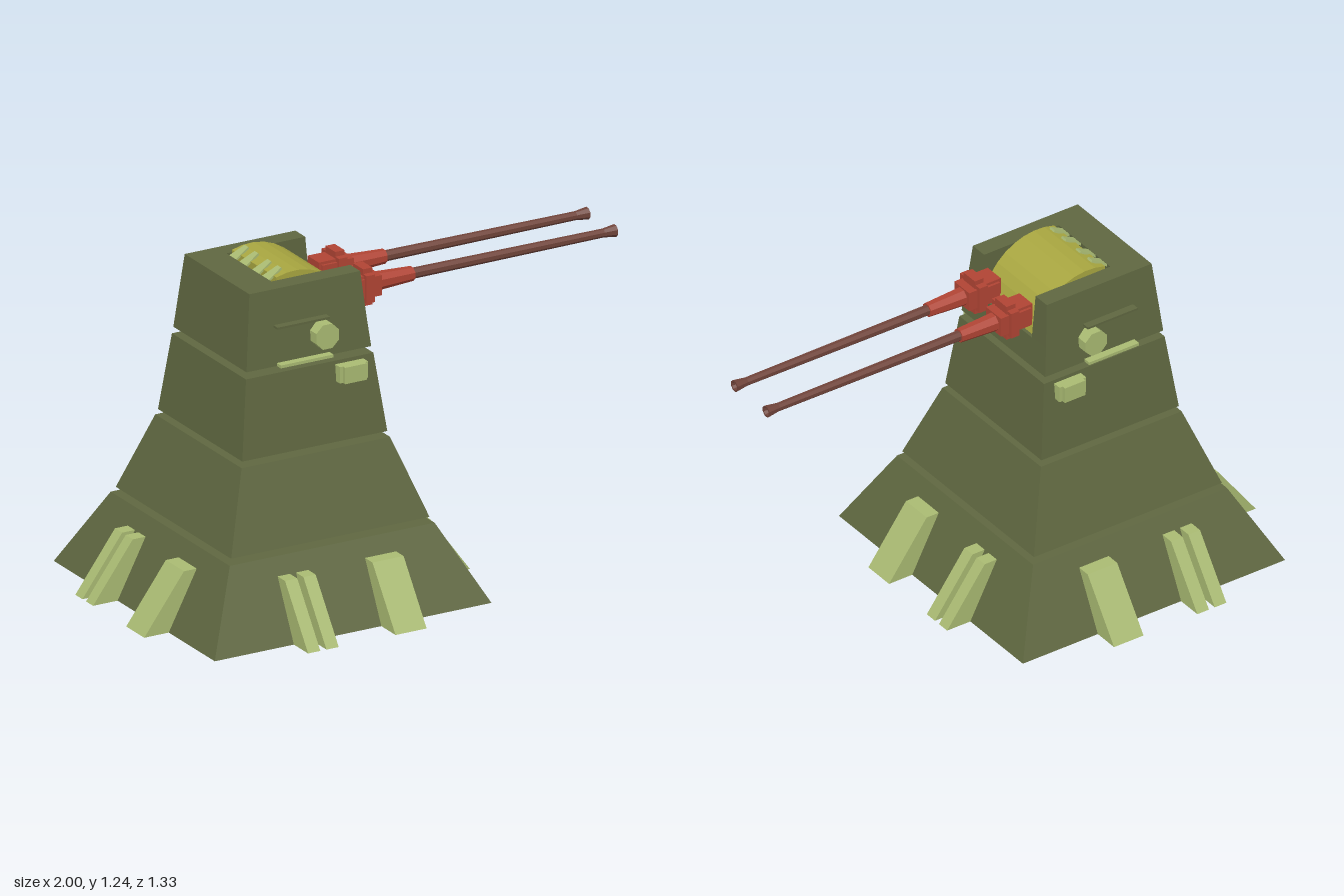
import * as THREE from 'three';

const mat = (name, color) => {
  const m = new THREE.MeshStandardMaterial({ color });
  m.name = name;
  return m;
};

export function createModel() {
  const hull = mat('olive armour', 0x5f6740);
  const trim = mat('pale green fittings', 0xa9ba72);
  const yellow = mat('yellow mantlet', 0xa8a640);
  const red = mat('red gun mount', 0xb04434);
  const brown = mat('brown barrel', 0x70443a);
  const root = new THREE.Group();
  root.name = 'gunTower';
  const CX = -0.333;

  const add = (name, geo, material, parent = root) => {
    const m = new THREE.Mesh(geo, material);
    m.name = name;
    parent.add(m);
    return m;
  };

  // Six-sided block between a bottom and a top rectangle, each [x0, x1, z0, z1]
  const block = (name, material, y0, y1, bottom, top = bottom, parent = root) => {
    const g = new THREE.BoxGeometry(1, 1, 1);
    const p = g.attributes.position;
    for (let i = 0; i < p.count; i++) {
      const up = p.getY(i) > 0, r = up ? top : bottom;
      p.setXYZ(i, r[p.getX(i) > 0 ? 1 : 0], up ? y1 : y0, r[p.getZ(i) > 0 ? 3 : 2]);
    }
    g.computeVertexNormals();
    return add(name, g, material, parent);
  };
  const square = (h) => [CX - h, CX + h, -h, h];

  // Three separate tapering tiers
  [[0, 0.283, 0.565, 0.418], [0.303, 0.592, 0.405, 0.303], [0.613, 0.905, 0.296, 0.26]]
    .forEach(([y0, y1, a, b], i) => block('tier' + (i + 1), hull, y0, y1, square(a), square(b)));

  // Top tier, notched for the gun mantlet
  const mid = [-0.578, -0.092, -0.245, 0.245], roof = [-0.56, -0.108, -0.227, 0.227];
  const NX = -0.43, NZ = 0.158;
  block('turretBase', hull, 0.93, 1.04, [-0.589, -0.08, -0.257, 0.257], mid);
  block('turretBack', hull, 1.04, 1.21, [mid[0], NX, mid[2], mid[3]], [roof[0], NX, roof[2], roof[3]]);
  block('turretWallLeft', hull, 1.04, 1.21, [NX, mid[1], NZ, mid[3]], [NX, roof[1], NZ, roof[3]]);
  block('turretWallRight', hull, 1.04, 1.21, [NX, mid[1], mid[2], -NZ], [NX, roof[1], roof[2], -NZ]);

  // Curved mantlet: a drum segment in the notch
  const drum = new THREE.Shape();
  const R = 0.232, a0 = Math.asin(0.04 / R), a1 = Math.acos(-0.075 / R), N = 9;
  drum.moveTo(CX - 0.075, 1.04);
  for (let i = 0; i <= N; i++) {
    const a = a0 + (a1 - a0) * i / N;
    drum.lineTo(CX + R * Math.cos(a), 1 + R * Math.sin(a));
  }
  const drumGeo = new THREE.ExtrudeGeometry(drum, { depth: 0.312, bevelEnabled: false });
  add('mantlet', drumGeo, yellow).position.z = -0.157;

  // Slanted teeth over the back edge of the mantlet
  for (const z of [-0.115, -0.045, 0.045, 0.115]) {
    const s = new THREE.Shape();
    s.moveTo(-0.024, 0).lineTo(0.024, 0).lineTo(0.013, 0.068).lineTo(-0.013, 0.068);
    const tooth = add('mantletTooth',
      new THREE.ExtrudeGeometry(s, { depth: 0.008, bevelEnabled: false }), trim);
    tooth.rotation.set(0, Math.PI / 2, 0);
    tooth.rotateX(Math.PI / 3);
    tooth.position.set(-0.432, 1.208, z);
  }

  // Buttresses around the base: one wide and two narrow on every side
  for (const s of [-1, 1]) {
    const span = (c, d) => s > 0 ? [c, d] : [-d, -c];
    for (const [w0, w1] of [[0.115, 0.242], [-0.167, -0.117], [-0.242, -0.192]]) {
      const lo = span(0.45, 0.665), hi = span(0.45, 0.503);
      block('buttress', trim, 0, 0.22, [CX + w0, CX + w1, ...lo], [CX + w0, CX + w1, ...hi]);
      block('buttress', trim, 0, 0.22,
        [CX + lo[0], CX + lo[1], w0, w1], [CX + hi[0], CX + hi[1], w0, w1]);
    }

    // Side fittings: hatch, slit hood, ledge and box
    const hatch = add('sideHatch', new THREE.CylinderGeometry(0.05, 0.05, 0.06, 8).toNonIndexed(), trim);
    hatch.geometry.rotateY(Math.PI / 8).rotateX(Math.PI / 2).computeVertexNormals();
    hatch.position.set(-0.277, 1.015, s * 0.26);
    block('slitHood', hull, 1.072, 1.08, [-0.47, -0.255, ...span(0.23, 0.27)]);
    block('sideLedge', trim, 0.93, 0.941, [-0.465, -0.25, ...span(0.25, 0.285)]);
    block('sideBox', trim, 0.83, 0.892, [-0.23, -0.115, ...span(0.255, 0.295)]);
    const out = span(0.295, 0.31);
    block('sideBoxFace', trim, 0.83, 0.892, [-0.217, -0.128, ...out]);
  }

  // Twin guns pointing along +x
  const tube = (name, material, x0, x1, r0, r1, parent, open = false) => {
    const g = new THREE.CylinderGeometry(r1, r0, x1 - x0, 8, 1, open).toNonIndexed();
    g.rotateY(Math.PI / 8).rotateZ(-Math.PI / 2);
    g.computeVertexNormals();
    add(name, g, material, parent).position.x = (x0 + x1) / 2;
  };
  for (const z of [0.113, -0.082]) {
    const gun = new THREE.Group();
    gun.name = 'gun';
    gun.position.set(0, 1.108, z);
    root.add(gun);
    const box = (name, x0, x1, hy, hz) => block(name, red, -hy, hy, [x0, x1, -hz, hz], undefined, gun);
    box('receiver', -0.12, -0.05, 0.045, 0.04);
    box('receiverTop', -0.11, -0.05, 0.035, 0.05);
    box('mountPlateWide', -0.05, -0.015, 0.052, 0.06);
    box('mountPlateTall', -0.05, -0.012, 0.07, 0.035);
    box('mountCollar', -0.015, 0.02, 0.038, 0.046);
    tube('sleeve', red, 0.02, 0.17, 0.035, 0.027, gun);
    tube('barrel', brown, 0.17, 0.95, 0.02, 0.016, gun);
    tube('muzzle', brown, 0.95, 1, 0.016, 0.023, gun, true);
    // Inner wall of the flared muzzle
    const bore = new THREE.CylinderGeometry(0.016, 0.008, 0.05, 8, 1, true).toNonIndexed();
    bore.rotateY(Math.PI / 8).rotateZ(-Math.PI / 2);
    bore.computeVertexNormals();
    const inner = brown.userData.inner || (brown.userData.inner = Object.assign(brown.clone(), { side: THREE.DoubleSide, userData: {} }));
    add('bore', bore, inner, gun).position.x = 0.975;
    const rim = new THREE.RingGeometry(0.016, 0.023, 8, 1, Math.PI / 8).rotateY(Math.PI / 2);
    add('muzzleRim', rim, brown, gun).position.x = 1;
  }
  return root;
}
